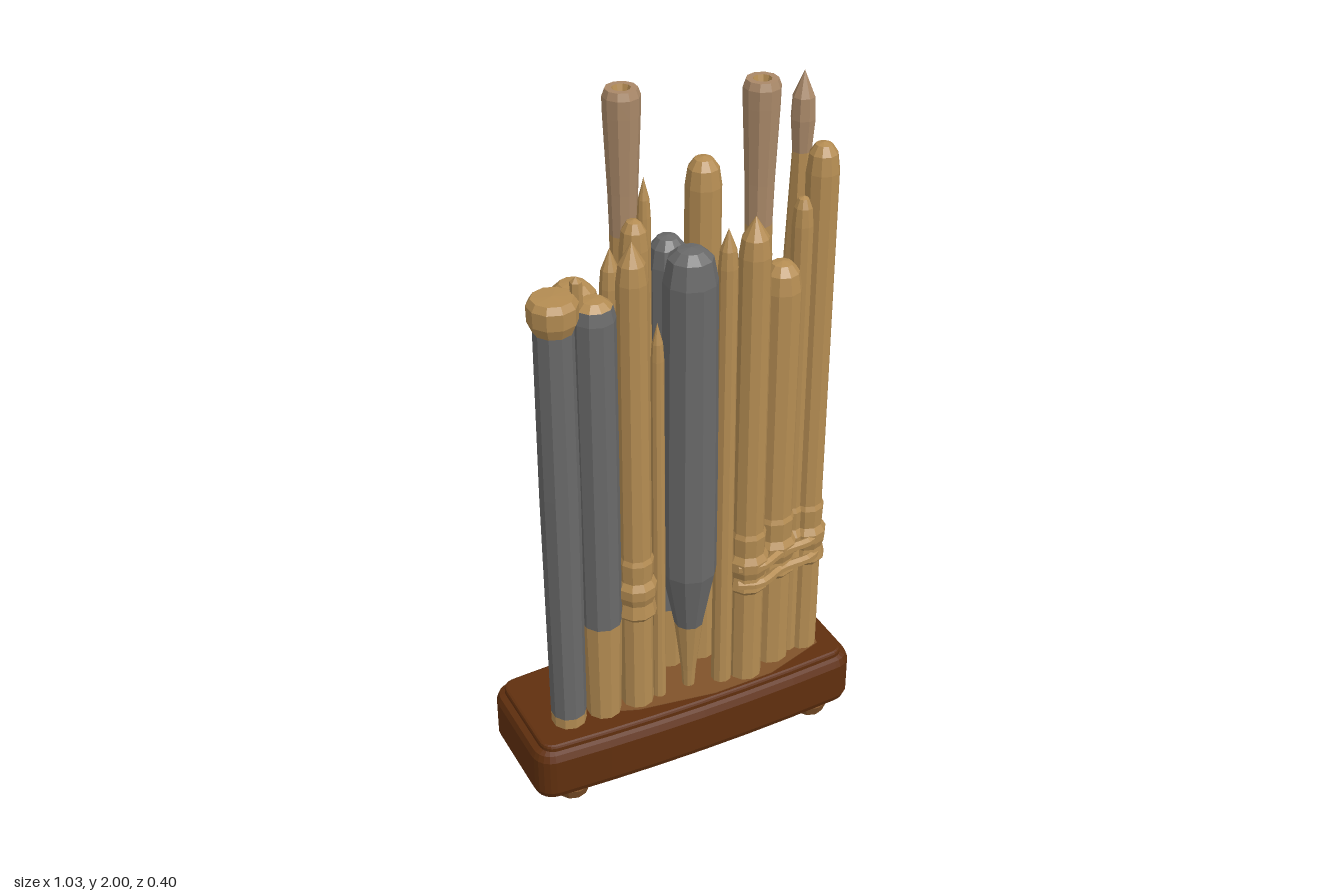
import * as THREE from 'three';

const mat = (name, color, extra = {}) =>
  Object.assign(new THREE.MeshStandardMaterial({ color, flatShading: true, ...extra }), { name });

export function createModel() {
  const model = new THREE.Group();
  model.name = 'toolStand';
  const M = {
    bamboo: mat('bamboo', 0xb48c52),
    grey: mat('greyCoating', 0x696969),
    rose: mat('roseWood', 0xa98868),
    wood: mat('darkWood', 0x602f0e),
    worn: mat('wornWood', 0x80522a),
  };
  const add = (parent, name, geo, material) => {
    const mesh = new THREE.Mesh(geo, material);
    mesh.name = name;
    parent.add(mesh);
    return mesh;
  };

  // Rounded plan of the base with slightly bowed long sides
  const plan = (hx, hz, r) => {
    const s = new THREE.Shape();
    const e = hz - 0.015, b = 2 * hz - e;
    s.moveTo(-hx + r, -e);
    s.quadraticCurveTo(0, -b, hx - r, -e);
    s.quadraticCurveTo(hx, -e, hx, -e + r);
    s.lineTo(hx, e - r);
    s.quadraticCurveTo(hx, e, hx - r, e);
    s.quadraticCurveTo(0, b, -hx + r, e);
    s.quadraticCurveTo(-hx, e, -hx, e - r);
    s.lineTo(-hx, -e + r);
    s.quadraticCurveTo(-hx, -e, -hx + r, -e);
    return s;
  };
  const slab = (name, hx, hz, y0, y1, bevel, material) => {
    const g = new THREE.ExtrudeGeometry(plan(hx - bevel, hz - bevel, 0.04), {
      depth: y1 - y0 - 2 * bevel, bevelEnabled: bevel > 0, bevelThickness: bevel,
      bevelSize: bevel, bevelSegments: 2, curveSegments: 6,
    });
    g.rotateX(-Math.PI / 2).translate(0, y0 + bevel, 0);
    return add(model, name, g, material);
  };
  slab('base', 0.515, 0.2, 0.03, 0.2, 0.028, M.wood);
  slab('baseTop', 0.49, 0.18, 0.18, 0.216, 0.008, M.wood);

  // Worn patch on top of the base, and four round feet
  const patch = new THREE.Shape([
    [-0.26, -0.02], [-0.12, -0.08], [0.1, -0.09], [0.42, -0.08], [0.45, 0.0],
    [0.43, 0.1], [0.24, 0.16], [0.05, 0.165], [-0.18, 0.13], [-0.26, 0.1],
  ].map(([x, z]) => new THREE.Vector2(x, -z)));
  add(model, 'wornPatch', new THREE.ExtrudeGeometry(patch, { depth: 0.003, bevelEnabled: false })
    .rotateX(-Math.PI / 2).translate(0, 0.215, 0), M.worn);
  for (const x of [-0.395, 0.395]) for (const z of [-0.125, 0.125])
    add(model, 'foot', new THREE.CylinderGeometry(0.057, 0.045, 0.034, 10).translate(x, 0.017, z), M.worn);

  // One tool: stacked lathe sections, each [material, [[radius, y], ...]] from bottom to top
  const tool = (name, x, z, sections, sides = 10) => {
    const g = new THREE.Group();
    g.name = name;
    g.position.set(x, 0, z);
    for (const [m, pts] of sections)
      add(g, name + 'Section', new THREE.LatheGeometry(pts.map(p => new THREE.Vector2(...p)), sides), M[m]);
    model.add(g);
  };
  // Bound knot around a cane, as profile points
  const knot = r => [[r, 0.53], [r + 0.012, 0.545], [r + 0.004, 0.585], [r + 0.012, 0.61],
    [r + 0.013, 0.64], [r + 0.001, 0.66], [r + 0.004, 0.72], [r - 0.002, 0.735]];
  const foot = r => [[0, 0.2], [r, 0.2]];
  const dome = (r, y) => [[r, y - 0.08], [r * 0.85, y - 0.03], [r * 0.5, y - 0.006], [0, y]];
  const point = (r, y) => [[r * 0.9, y - 0.11], [r * 0.75, y - 0.06], [0, y]];

  // Plain, domed or pointed bamboo canes: name, x, z, radius, top, tip shape, knotted
  const canes = [
    ['pointedCane', -0.16, 0.08, 0.047, 1.69, point, true],
    ['thinCane', -0.165, -0.04, 0.032, 1.62, point, false],
    ['middleCane', -0.1, -0.03, 0.04, 1.69, dome, false],
    ['needleCane', -0.072, -0.03, 0.02, 1.8, point, false],
    ['slimFrontCane', -0.095, 0.09, 0.02, 1.45, point, false],
    ['tallDomedCane', 0.1, -0.035, 0.049, 1.82, dome, false],
    ['slimCane', 0.1, 0.105, 0.03, 1.68, point, false],
    ['pointedFrontCane', 0.175, 0.11, 0.049, 1.7, point, true],
    ['shortDomedCane', 0.28, 0.07, 0.056, 1.53, dome, true],
    ['narrowCane', 0.34, 0.065, 0.03, 1.7, dome, true],
    ['tallCornerCane', 0.393, 0.065, 0.045, 1.84, dome, true],
  ];
  for (const [name, x, z, r, top, tip, knotted] of canes)
    tool(name, x, z, [['bamboo', [...foot(r), ...(knotted ? knot(r) : []), ...tip(r, top)]]]);

  // Tall flared handles with a hollow end
  for (const [x, z, r] of [[-0.08, -0.135, 0.05], [0.262, -0.03, 0.05]])
    tool('flaredHandle', x, z, [
      ['bamboo', [...foot(r * 0.9), [r * 0.88, 1.2], [r * 0.74, 1.6]]],
      ['rose', [[r * 0.74, 1.6], [r * 0.8, 1.72], [r * 0.98, 1.93], [r, 1.98], [r * 0.85, 2], [r * 0.5, 2]]],
      ['bamboo', [[r * 0.5, 2], [r * 0.35, 1.975], [0, 1.975]]],
    ]);

  // Brush with a leaf-shaped tip
  tool('leafTipBrush', 0.385, -0.03, [
    ['bamboo', [...foot(0.045), ...knot(0.045), [0.042, 1.4], [0.026, 1.78]]],
    ['rose', [[0.026, 1.78], [0.033, 1.87], [0.03, 1.93], [0, 2]]],
  ], 8);

  // Grey coated sticks
  tool('cappedStick', -0.373, 0.07, [
    ['bamboo', [...foot(0.05), [0.051, 0.25]]],
    ['grey', [[0.051, 0.25], [0.055, 1.0], [0.053, 1.5]]],
    ['bamboo', [[0.053, 1.49], [0.066, 1.52], [0.067, 1.565], [0.055, 1.583], [0, 1.586]]],
  ]);
  tool('capSpike', -0.308, 0.07, [['bamboo', [[0, 1.5], [0.017, 1.54], [0.016, 1.61], [0, 1.625]]]], 6);
  tool('dippedStick', -0.265, 0.075, [
    ['bamboo', [...foot(0.05), [0.057, 0.54]]],
    ['grey', [[0.057, 0.54], [0.058, 1.2], [0.058, 1.5], [0.05, 1.535]]],
    ['bamboo', [[0.05, 1.535], [0.03, 1.552], [0, 1.555]]],
  ]);
  tool('thickBackStick', -0.27, -0.04, [
    ['grey', [...foot(0.04), [0.068, 0.52], [0.07, 1.0], [0.069, 1.47]]],
    ['bamboo', [[0.069, 1.47], [0.06, 1.52], [0.035, 1.545], [0, 1.55]]],
  ]);
  tool('slimBackStick', 0, -0.04, [
    ['bamboo', [...foot(0.045), [0.05, 0.43]]],
    ['grey', [[0.05, 0.43], [0.054, 0.7], ...dome(0.054, 1.62)]],
  ]);
  tool('largeFrontStick', 0, 0.09, [
    ['bamboo', [[0, 0.2], [0.018, 0.22], [0.022, 0.28], [0.042, 0.45]]],
    ['grey', [[0.042, 0.45], [0.078, 0.64], [0.078, 1.0], [0.073, 1.55], [0.06, 1.615], [0.035, 1.637], [0, 1.643]]],
  ]);

  // Cords joining the knotted canes
  const cord = new THREE.CatmullRomCurve3([
    [0.13, 0.14], [0.19, 0.16], [0.28, 0.125], [0.38, 0.115], [0.435, 0.07], [0.435, -0.02], [0.39, -0.07], [0.31, -0.01],
  ].map(([x, z]) => new THREE.Vector3(x, 0.6, z)));
  for (const dy of [-0.035, 0.025])
    add(model, 'cord', new THREE.TubeGeometry(cord, 24, 0.014, 6).translate(0, dy, 0), M.bamboo);

  return model;
}
